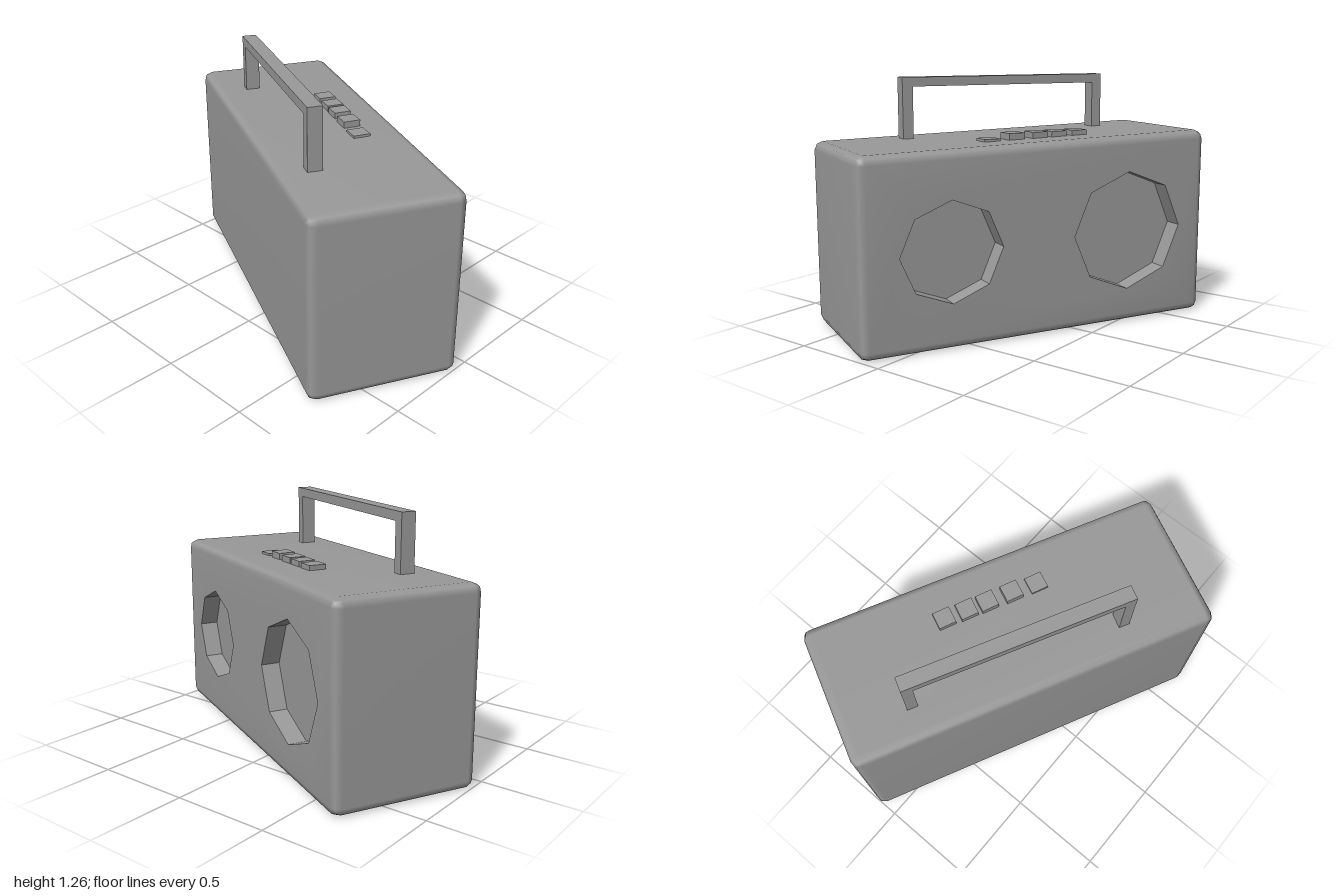
import * as THREE from 'three';
import { mergeGeometries, mergeVertices } from 'three/addons/utils/BufferGeometryUtils.js';

const W = 0.95, H = 0.481, D = 0.37, R = 0.044, MID = 0.486, RECESS = 0.095;
const SPEAKERS = [
  { name: 'smallSpeaker', x: -0.496, rx: 0.262, ry: 0.25 },
  { name: 'largeSpeaker', x: 0.477, rx: 0.317, ry: 0.303 },
];

// The case is slightly taller towards its right end
const lean = (x, y) => y + 0.018 * (x / W) * (y / (MID + H));
function leanGeometry(geo) {
  const p = geo.attributes.position;
  for (let i = 0; i < p.count; i++) p.setY(i, lean(p.getX(i), p.getY(i)));
  return geo;
}

// Rounded rectangle, three points per corner, pulled in by d
function outline(d) {
  const pts = [];
  [[1, 1], [-1, 1], [-1, -1], [1, -1]].forEach(([sx, sy], c) => {
    for (let k = 0; k < 3; k++) {
      const a = (c + k / 2) * Math.PI / 2;
      pts.push(new THREE.Vector2(
        sx * (W - R) + (R - d) * Math.cos(a),
        MID + sy * (H - R) + (R - d) * Math.sin(a)));
    }
  });
  return pts;
}

// Eight-sided speaker opening
function octagon({ x, rx, ry }) {
  return Array.from({ length: 8 }, (_, i) => {
    const a = i * Math.PI / 4;
    return new THREE.Vector2(x + rx * Math.cos(a), MID - 0.003 + ry * Math.sin(a));
  });
}

// Strip of quads joining rings of 3D points
function loft(rings) {
  const n = rings[0].length, pos = [], index = [];
  rings.forEach(r => r.forEach(p => pos.push(p.x, p.y, p.z)));
  for (let j = 0; j < rings.length - 1; j++) {
    for (let i = 0; i < n; i++) {
      const a = j * n + i, b = j * n + (i + 1) % n;
      index.push(a, b, b + n, a, b + n, a + n);
    }
  }
  const geo = new THREE.BufferGeometry();
  geo.setAttribute('position', new THREE.Float32BufferAttribute(pos, 3));
  geo.setIndex(index);
  return geo;
}

const at = (pts, z) => pts.map(p => new THREE.Vector3(p.x, p.y, z));

function caseGeometry() {
  const m = R * (1 - Math.SQRT1_2);
  const shell = loft([[-D, R], [-D + m, m], [-D + R, 0], [D - R, 0], [D - m, m], [D, R]]
    .map(([z, d]) => at(outline(d), z)));
  // Flat front with speaker openings, and plain back
  const w = W - R, h = H - R;
  const rect = () => new THREE.Shape([[-w, -h], [w, -h], [w, h], [-w, h]]
    .map(([x, y]) => new THREE.Vector2(x, MID + y)));
  const frontShape = rect();
  SPEAKERS.forEach(s => frontShape.holes.push(new THREE.Path(octagon(s))));
  const front = new THREE.ShapeGeometry(frontShape).translate(0, 0, D);
  const back = new THREE.ShapeGeometry(rect()).translate(0, -MID, 0)
    .rotateY(Math.PI).translate(0, MID, -D);
  [front, back].forEach(g => { g.deleteAttribute('normal'); g.deleteAttribute('uv'); });
  const geo = mergeVertices(mergeGeometries([shell, front, back]), 1e-4);
  leanGeometry(geo).computeVertexNormals();
  return geo;
}

export function createModel() {
  const model = new THREE.Group();
  model.name = 'portableStereo';
  const grey = new THREE.MeshStandardMaterial({ color: 0x999999 });
  grey.name = 'grey';

  const add = (parent, name, geo) => {
    const mesh = new THREE.Mesh(geo, grey);
    mesh.name = name;
    parent.add(mesh);
    return mesh;
  };
  const box = (parent, name, size, x, y, z) => {
    const mesh = add(parent, name, new THREE.BoxGeometry(...size));
    mesh.position.set(x, y, z);
    return mesh;
  };

  add(model, 'case', caseGeometry());

  // Recessed speakers: faceted wall and flat floor
  SPEAKERS.forEach(s => {
    const pts = octagon(s);
    const wall = leanGeometry(loft([at(pts, D), at(pts, D - RECESS)]).toNonIndexed());
    wall.computeVertexNormals();
    add(model, s.name + 'Wall', wall);
    const floor = new THREE.ShapeGeometry(new THREE.Shape(pts)).translate(0, 0, D - RECESS);
    add(model, s.name + 'Floor', leanGeometry(floor));
  });

  // Carrying handle
  const handle = new THREE.Group();
  handle.name = 'handle';
  handle.position.set(0.04, 0, -0.185);
  handle.rotation.y = -0.0175;
  const len = 1.155, leg = 0.055, deep = 0.074, top = 1.267, bar = 0.047, foot = 0.92;
  box(handle, 'handleBar', [len, bar, deep], 0, top - bar / 2, 0);
  for (const side of [-1, 1]) {
    box(handle, side < 0 ? 'leftLeg' : 'rightLeg', [leg, top - bar - foot, deep],
      side * (len - leg) / 2, (top - bar + foot) / 2, 0);
  }
  model.add(handle);

  // Row of push buttons, the first one pressed
  [-0.206, -0.073, 0.058, 0.166, 0.284].forEach((x, i) => {
    const button = box(model, 'button' + (i + 1), [0.088, 0.06, 0.088],
      x, (i === 0 ? 0.975 : 0.998) - 0.03, 0.145);
    button.rotation.y = 0.045;
  });

  // The whole stereo stands turned on its base
  model.rotation.y = 1.1136;
  model.position.y = -lean(0, MID - H);
  return model;
}
